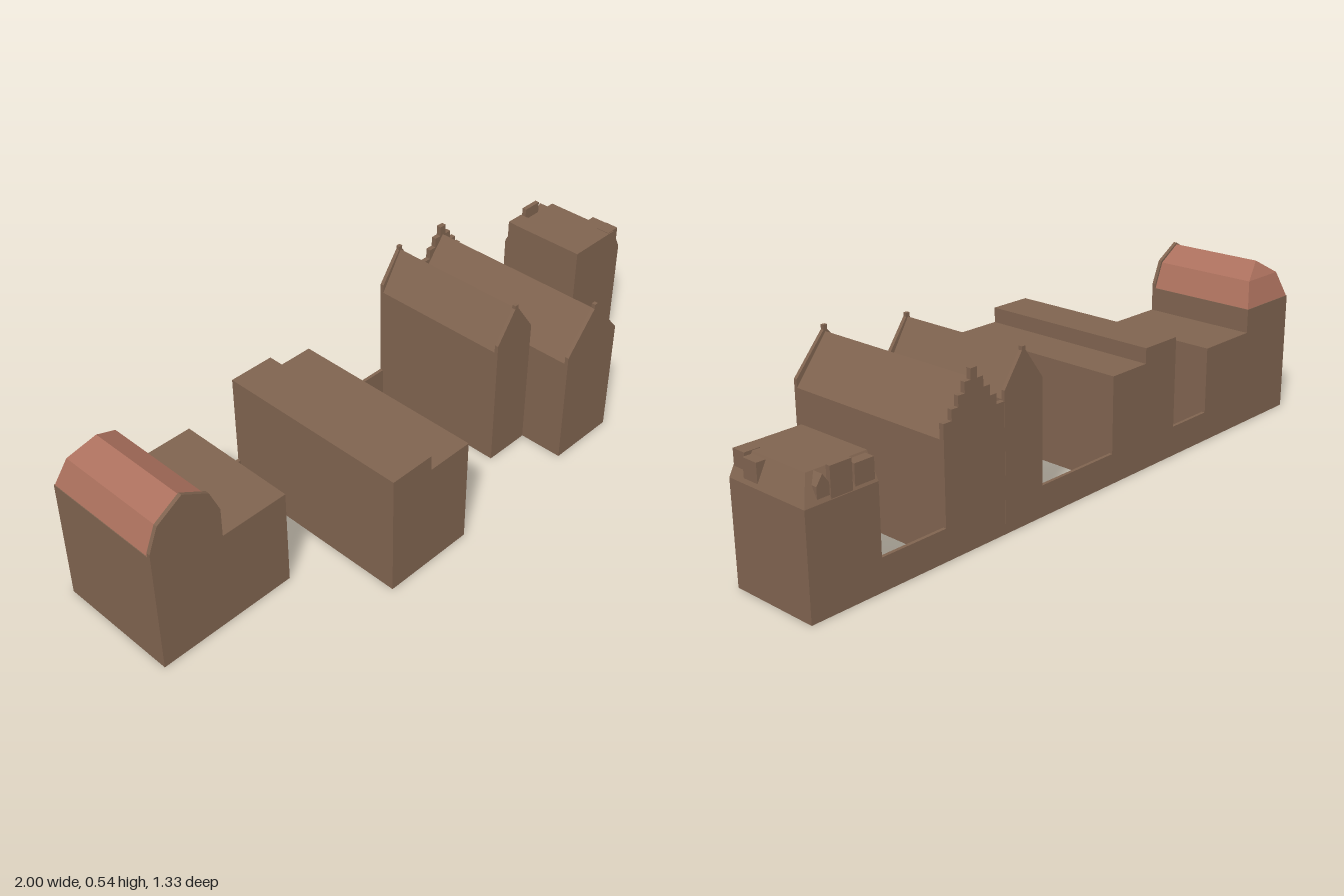
import * as THREE from 'three';
import { ConvexGeometry } from 'three/addons/geometries/ConvexGeometry.js';

// Street row: local x runs along the back wall, local z is the depth of each house.
export function createModel() {
  const model = new THREE.Group();
  const row = new THREE.Group();
  row.name = 'houseRow';
  row.position.set(-1, 0, 0.31);
  row.rotation.y = 0.485;
  model.add(row);

  const brown = new THREE.MeshStandardMaterial({ color: 0x7f634f, flatShading: true });
  const red = new THREE.MeshStandardMaterial({ color: 0xab705d, flatShading: true });

  const add = (name, geometry, material = brown) => {
    const mesh = new THREE.Mesh(geometry, material);
    mesh.name = name;
    row.add(mesh);
    return mesh;
  };

  const box = (name, x0, x1, y0, y1, z0, z1) =>
    add(name, new THREE.BoxGeometry(x1 - x0, y1 - y0, z1 - z0))
      .position.set((x0 + x1) / 2, (y0 + y1) / 2, (z0 + z1) / 2);

  // Symmetric cross-section given as [half width, height] from the base up
  const prism = (name, centre, half, z0, z1) => {
    const right = half.map(([w, y]) => new THREE.Vector2(centre + w, y));
    const left = half.filter(([w]) => w > 0).map(([w, y]) => new THREE.Vector2(centre - w, y)).reverse();
    const geometry = new THREE.ExtrudeGeometry(new THREE.Shape([...right, ...left]),
      { depth: z1 - z0, bevelEnabled: false });
    geometry.translate(0, 0, z0);
    add(name, geometry);
  };

  const convex = (name, points, material) =>
    add(name, new ConvexGeometry(points.map((p) => new THREE.Vector3(...p))), material);

  // Low garden walls closing the gaps
  for (const [x0, x1] of [[0.455, 0.625], [0.93, 1.245], [1.632, 1.862]]) {
    box('gardenWall', x0, x1, 0, 0.1, 0, 0.011);
  }

  // House with red gambrel roof, hipped at the back
  box('gambrelHouseBody', 0, 0.232, 0, 0.4, 0, 0.388);
  const gambrel = [];
  for (const side of [-1, 1]) {
    for (const [w, y, z] of [[0.114, 0.4, 0.002], [0.08, 0.485, 0.025], [0, 0.535, 0.056]]) {
      gambrel.push([0.116 + side * w, y, z], [0.116 + side * w, y, 0.388]);
    }
  }
  convex('gambrelRoof', gambrel, red);
  prism('gambrelFrontGable', 0.116,
    [[0.116, 0], [0.116, 0.415], [0.084, 0.491], [0, 0.541]], 0.388, 0.4);
  box('flatRoofAnnex', 0.232, 0.455, 0, 0.32, 0, 0.4);

  // Pair of flat-roofed houses
  box('tallFlatHouse', 0.625, 0.775, 0, 0.4, 0, 0.64);
  box('lowFlatHouse', 0.775, 0.93, 0, 0.35, 0, 0.64);

  // Narrow gabled house with raised gables at both ends
  const narrowGable = [[0.077, 0], [0.077, 0.432], [0.007, 0.53], [0.007, 0.542]];
  prism('narrowHouse', 1.322, [[0.077, 0], [0.077, 0.405], [0, 0.53]], 0.012, 0.465);
  prism('narrowBackGable', 1.322, narrowGable, 0, 0.012);
  prism('narrowFrontGable', 1.322, narrowGable, 0.465, 0.477);

  // Wide gabled house: pointed front gable, stepped back gable
  prism('wideHouse', 1.516, [[0.116, 0], [0.116, 0.355], [0, 0.5]], 0.016, 0.61);
  prism('wideFrontGable', 1.516,
    [[0.116, 0], [0.116, 0.38], [0.007, 0.505], [0.007, 0.52]], 0.61, 0.622);
  const steps = [[0.116, 0]];
  const widths = [0.116, 0.085, 0.06, 0.035, 0.012];
  const tops = [0.402, 0.434, 0.466, 0.498, 0.53];
  widths.forEach((w, i) => {
    steps.push([w, tops[i]]);
    if (i < 4) steps.push([widths[i + 1], tops[i]]);
  });
  prism('steppedBackGable', 1.516, steps, 0, 0.016);

  // Corner house: flat-topped roof sloping to the back and to its outer side
  box('cornerHouseBody', 1.862, 2.1, 0, 0.315, 0, 0.3);
  convex('cornerHouseRoof', [
    [1.862, 0.315, 0], [2.1, 0.315, 0], [1.862, 0.315, 0.3], [2.1, 0.315, 0.3],
    [1.862, 0.39, 0.04], [2.06, 0.39, 0.04], [1.862, 0.39, 0.3], [2.06, 0.39, 0.3],
  ]);
  box('backDormer', 1.87, 1.935, 0.31, 0.385, 0.004, 0.06);
  box('backChimney', 1.945, 2.015, 0.31, 0.405, 0.001, 0.016);
  box('sideDormer', 2.035, 2.094, 0.31, 0.384, 0.19, 0.246);
  box('sideChimney', 2.035, 2.085, 0.31, 0.392, 0.25, 0.297);
  // Small gabled dormer near the back corner
  prism('cornerDormer', 2.035, [[0.02, 0.312], [0.02, 0.36], [0, 0.389]], 0.006, 0.045);

  return model;
}
